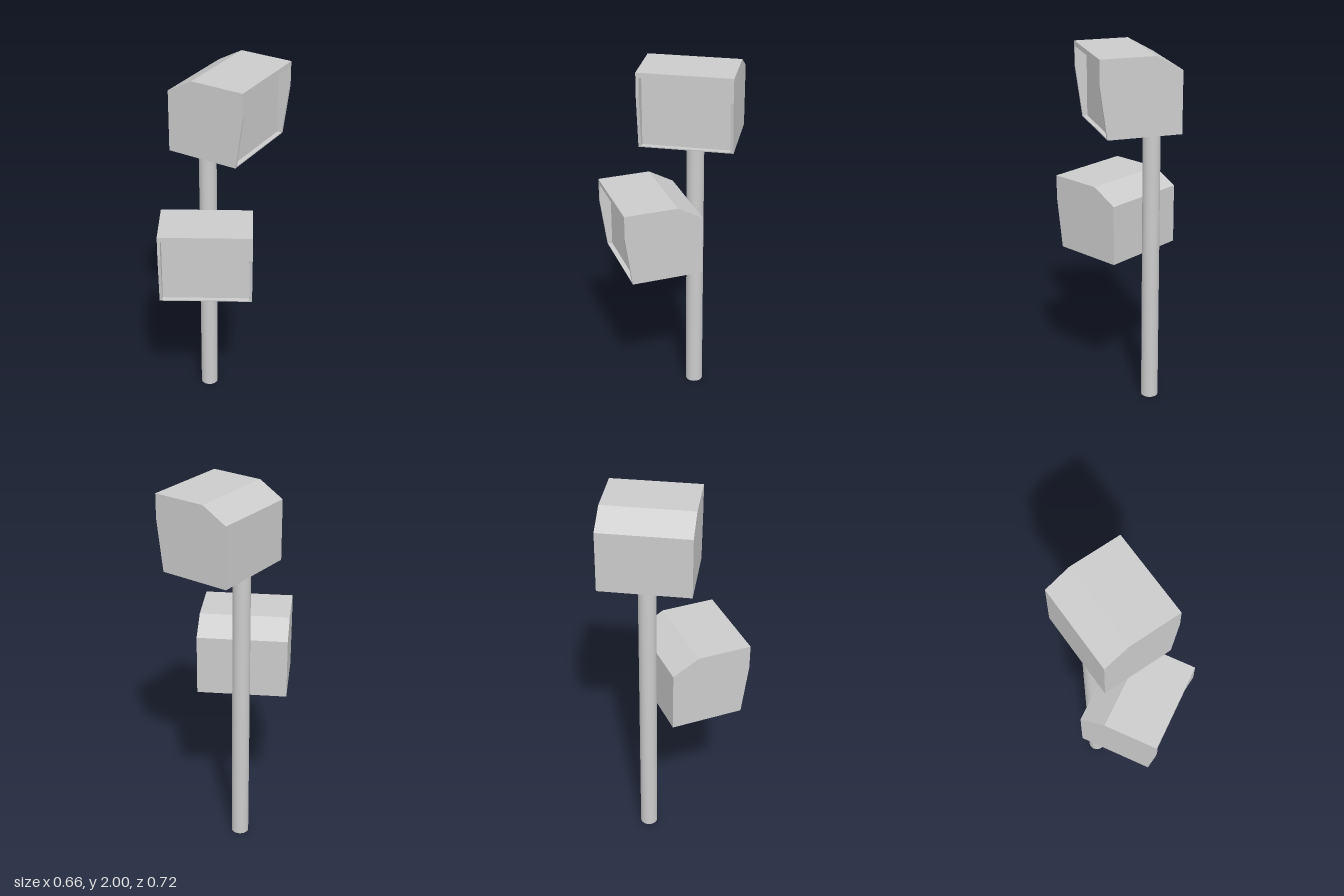
import * as THREE from 'three';

const HALF_W = 0.241, HALF_IN = 0.226, PANEL_Z = 0.152;

// Hooded box, open at the front with a shallow recess; base at y = 0, facing +z
function housingGeometry() {
  const out = [];
  const poly = (pts) => { // flat convex polygon as a fan
    for (let i = 1; i < pts.length - 1; i++) out.push(...pts[0], ...pts[i], ...pts[i + 1]);
  };
  const strip = (a, b) => { // quads between two point rows
    for (let i = 0; i < a.length - 1; i++) poly([a[i], a[i + 1], b[i + 1], b[i]]);
  };
  const at = (x, profile) => profile.map(([z, y]) => [x, y, z]);

  // Side profiles as [z, y]
  const shell = [[0.176, 0], [-0.214, 0], [-0.214, 0.327], [-0.076, 0.405], [0.214, 0.405], [0.214, 0.275]];
  const lip = [shell[0], shell[5], shell[4]];
  const mouth = [[0.177, 0.006], [0.214, 0.275], [0.214, 0.379]];
  const recess = [...mouth, [PANEL_Z, 0.379], [PANEL_Z, 0.006]];

  // Outer shell: bottom, back, chamfer, top and the two sides
  strip(at(-HALF_W, shell.slice(0, 5)), at(HALF_W, shell.slice(0, 5)));
  poly(at(HALF_W, shell));
  poly(at(-HALF_W, shell).reverse());

  // Front rim
  const lipL = at(-HALF_W, lip), lipR = at(HALF_W, lip);
  const inL = at(-HALF_IN, recess), inR = at(HALF_IN, recess);
  strip(lipR, inR.slice(0, 3));
  strip(inL.slice(0, 3), lipL);
  poly([inL[2], inR[2], lipR[2], lipL[2]]);
  poly([lipL[0], lipR[0], inR[0], inL[0]]);

  // Recess: sides, floor, ceiling and back panel
  poly(inR);
  poly([...inL].reverse());
  poly([inL[0], inR[0], inR[4], inL[4]]);
  poly([inL[3], inR[3], inR[2], inL[2]]);
  poly([inL[4], inR[4], inR[3], inL[3]]);

  const geo = new THREE.BufferGeometry();
  geo.setAttribute('position', new THREE.Float32BufferAttribute(out, 3));
  geo.computeVertexNormals();
  return geo;
}

export function createModel() {
  const model = new THREE.Group();
  model.name = 'postWithTwoHoods';
  const add = (name, geo, material, x, y, z, turn = 0) => {
    const mesh = new THREE.Mesh(geo, material);
    mesh.name = name;
    mesh.position.set(x, y, z);
    mesh.rotation.y = turn;
    model.add(mesh);
  };
  const grey = new THREE.MeshStandardMaterial({ color: 0xcccccc });
  const tube = new THREE.MeshStandardMaterial({ color: 0xcccccc, side: THREE.DoubleSide });

  // Hollow pole
  add('pole', new THREE.CylinderGeometry(0.047, 0.047, 1.597, 32, 1, true), tube, -0.093, 0.7985, -0.111);

  // Two identical housings, the upper one turned to the side
  const housing = housingGeometry();
  add('lowerHousing', housing, grey, -0.092, 0.855, 0.148);
  add('upperHousing', housing, grey, 0.025, 1.595, -0.047, Math.PI / 3);
  return model;
}
